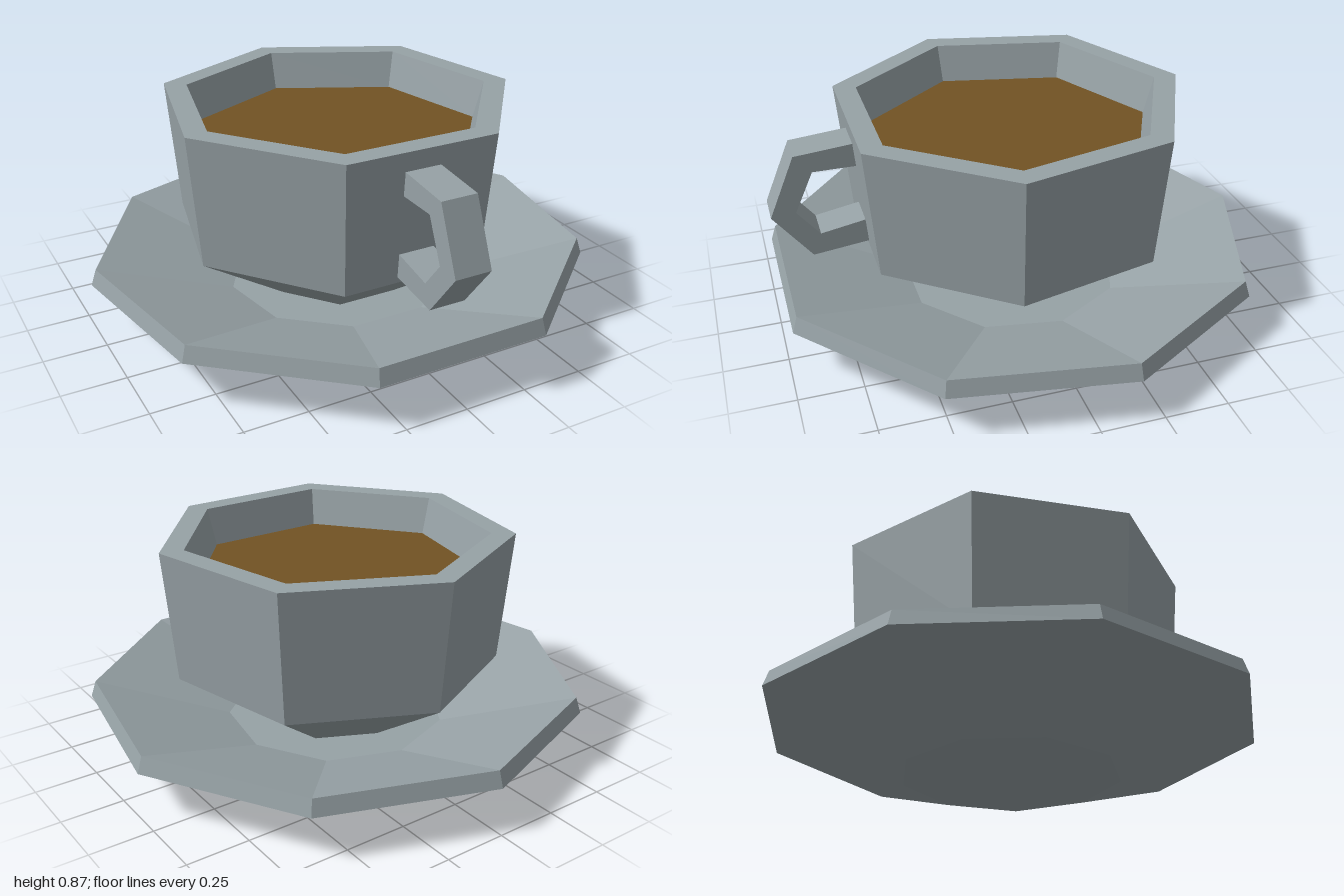
import * as THREE from 'three';

export function createModel() {
  const model = new THREE.Group();
  const ceramic = new THREE.MeshStandardMaterial({ color: 0x97a2a6, flatShading: true });
  const coffeeMaterial = new THREE.MeshStandardMaterial({ color: 0x725323, flatShading: true });
  const centreZ = 0.024;

  const add = (name, geometry, material) => {
    const mesh = new THREE.Mesh(geometry, material);
    mesh.name = name;
    model.add(mesh);
    return mesh;
  };

  // Faceted turned shape with one corner pointing to the back
  const turned = (name, profile, sides) => {
    const points = profile.map(([r, y]) => new THREE.Vector2(r, y));
    add(name, new THREE.LatheGeometry(points, sides, Math.PI), ceramic).position.z = centreZ;
  };

  // Nine-sided saucer with a shallow well
  turned('saucer', [[0, 0], [0.445, 0], [1.015, 0.19], [0.994, 0.255], [0.45, 0.083], [0, 0.083]], 9);

  // Seven-sided cup: tapered foot, wall, flat rim and hollow inside
  turned('cup', [
    [0, 0.088], [0.29, 0.088], [0.667, 0.343], [0.714, 0.873],
    [0.618, 0.873], [0.577, 0.72], [0.52, 0.45], [0, 0.45],
  ], 7);

  // Coffee surface
  const coffee = new THREE.CircleGeometry(0.578, 7, Math.PI / 2);
  coffee.rotateX(-Math.PI / 2);
  add('coffee', coffee, coffeeMaterial).position.set(0, 0.722, centreZ);

  // Angular handle: side outline in (z, y), extruded across x
  const outline = [
    [0.61, 0.802], [0.885, 0.777], [0.99, 0.532], [0.845, 0.343], [0.59, 0.372],
    [0.59, 0.472], [0.81, 0.433], [0.895, 0.54], [0.82, 0.703], [0.61, 0.703],
  ];
  const shape = new THREE.Shape(outline.map(([z, y]) => new THREE.Vector2(z, y)));
  const handle = new THREE.ExtrudeGeometry(shape, { depth: 0.146, bevelEnabled: false });
  handle.translate(0, 0, -0.073);
  handle.rotateY(-Math.PI / 2);
  add('handle', handle, ceramic);

  return model;
}
